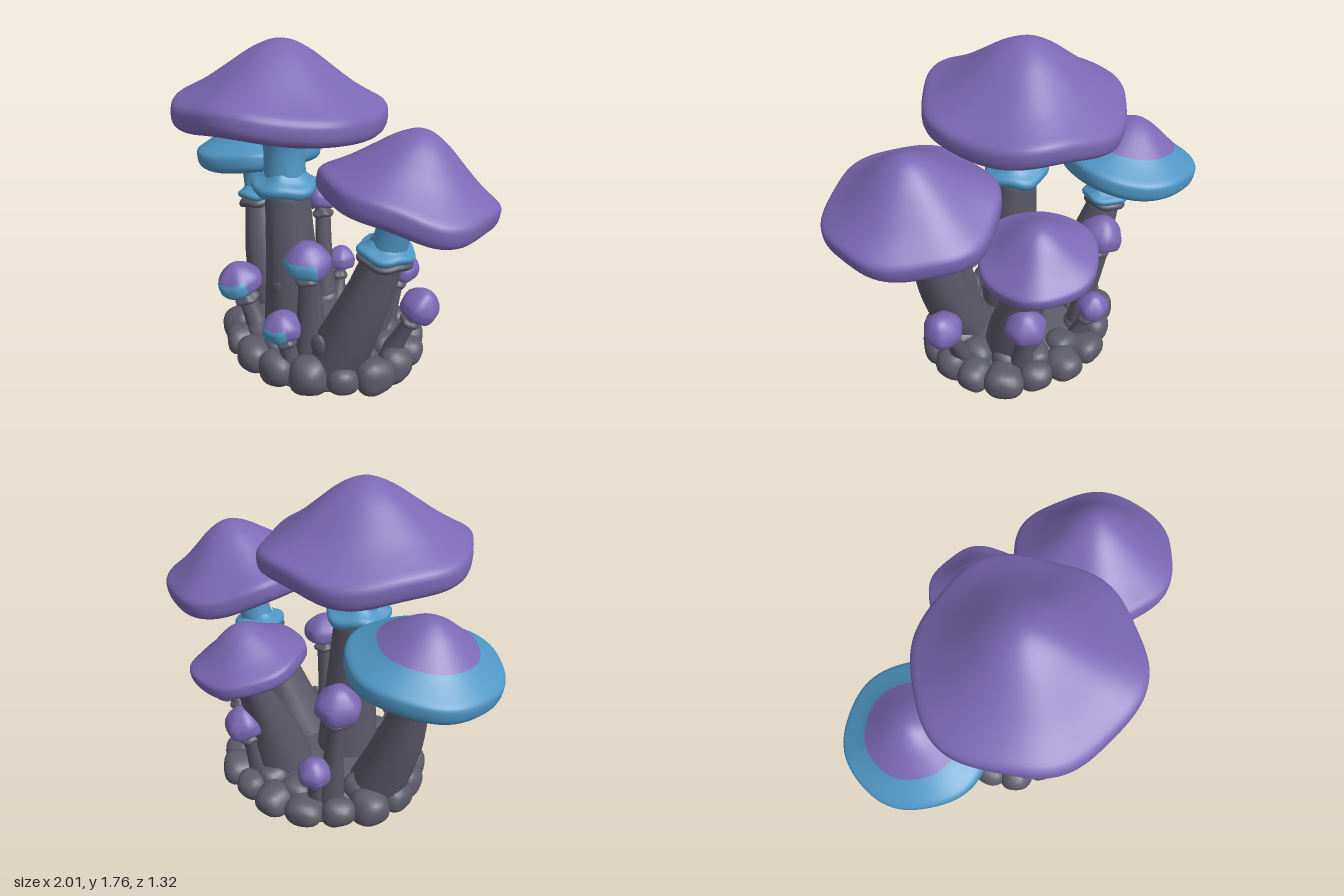
import * as THREE from 'three';
import { mergeVertices } from 'three/addons/utils/BufferGeometryUtils.js';

const mat = (name, color) => {
  const m = new THREE.MeshStandardMaterial({ color });
  m.name = name;
  return m;
};
const V = (p) => new THREE.Vector3(...p);

// weld the seam, bend every vertex by a rule, and smooth the normals
function reshape(geo, rule) {
  geo.deleteAttribute('uv');
  geo.deleteAttribute('normal');
  const g = mergeVertices(geo, 1e-5);
  const p = g.attributes.position;
  const v = new THREE.Vector3();
  for (let i = 0; i < p.count; i++) {
    v.fromBufferAttribute(p, i);
    rule(v);
    p.setXYZ(i, v.x, v.y, v.z);
  }
  g.computeVertexNormals();
  return g;
}

// sort the triangles into one group per material
function paint(geo, count, pick) {
  const old = geo.index.array;
  const lists = Array.from({ length: count }, () => []);
  for (let f = 0; f < old.length / 3; f++) {
    lists[pick(f)].push(old[f * 3], old[f * 3 + 1], old[f * 3 + 2]);
  }
  geo.setIndex(lists.flat());
  geo.clearGroups();
  let start = 0;
  lists.forEach((l, i) => {
    geo.addGroup(start, l.length, i);
    start += l.length;
  });
}

// cap outlines as [radius, height]: underside, then two kinds of top from rim to tip
const under = [[0, -0.85], [0.25, -0.9], [0.55, -1], [0.78, -1.02], [0.9, -0.95], [0.985, -0.5]];
const bell = [[1, 0.07], [0.975, 0.18], [0.86, 0.28], [0.7, 0.42], [0.5, 0.63], [0.3, 0.84], [0.12, 0.97], [0, 1]];
const dome = [[1, 0.1], [0.97, 0.26], [0.86, 0.46], [0.7, 0.64], [0.5, 0.82], [0.3, 0.94], [0.12, 0.99], [0, 1]];

export function createModel() {
  const group = new THREE.Group();
  const purple = mat('purple cap', 0x7a68b4);
  const blue = mat('blue flesh', 0x4f96c4);
  const teal = mat('teal gill centre', 0x1c8c88);
  const dark = mat('dark stem', 0x5a5867);
  const stone = mat('stone', 0x5c5b69);

  const add = (name, geo, material) => {
    const m = new THREE.Mesh(geo, material);
    m.name = name;
    group.add(m);
    return m;
  };

  // cap: at = centre of the rim, lean = slope towards x and z, gills = how far the gills reach
  function cap(name, { at, R, H, L, lean, top = bell, seed = 0, wave = 1, rim = 0, gills = 3, patch = null, segs = 180 }) {
    const profile = new THREE.SplineCurve([
      ...under.map(([r, y]) => new THREE.Vector2(r * R, y * L)),
      ...top.map(([r, y]) => new THREE.Vector2(r * R, y * H)),
    ]);
    const n = 39;
    const pts = profile.getPoints(n);
    pts.forEach((p) => { p.x = Math.max(0, p.x); });
    pts[0].x = pts[n].x = 0;
    const geo = reshape(new THREE.LatheGeometry(pts, segs), (v) => {
      const a = Math.atan2(v.x, v.z);
      const q = Math.hypot(v.x, v.z) / R;
      // radial gill ridges below
      if (v.y < 0 && q > 0.2 && q < 0.77) v.y += 0.3 * L * Math.cos((a * segs) / 3);
      const k = 1 + wave * q * (0.022 * Math.sin(6 * a + seed) + 0.015 * Math.sin(3 * a + 2 * seed));
      v.x *= k;
      v.z *= k;
      v.y += wave * q * q * R * (0.035 * Math.sin(3 * a + seed) + 0.02 * Math.sin(5 * a + 3 * seed));
    });
    paint(geo, 3, (f) => {
      const quad = Math.floor(f / 2);
      const s = Math.floor(quad / n);
      const u = ((quad % n) / n) * 13;
      if (u < Math.min(1.9, gills)) return 2;
      if (u < Math.max(gills, rim)) return 1;
      if (patch !== null && u < 7.6 && Math.cos((s / segs) * Math.PI * 2 - patch) > 0.4) return 1;
      return 0;
    });
    const m = add(name, geo, [purple, blue, teal]);
    m.position.set(...at);
    m.quaternion.setFromUnitVectors(V([0, 1, 0]), V([lean[0], 1, lean[1]]).normalize());
  }

  // stem: level rings of changing radius along a curve
  function stem(name, path, radii, material, bump = 0) {
    const curve = new THREE.CatmullRomCurve3(path.map(V));
    const width = new THREE.SplineCurve(radii.map((r, i) => new THREE.Vector2(i, r)));
    const geo = reshape(new THREE.CylinderGeometry(1, 1, 1, 28, 16), (v) => {
      const t = THREE.MathUtils.clamp(v.y + 0.5, 0, 1);
      const a = Math.atan2(v.x, v.z);
      const r = width.getPoint(t).y * (1 + bump * (Math.sin(5 * a + 3 * t) + Math.sin(3 * a - 5 * t)));
      const c = curve.getPoint(t);
      v.set(c.x + v.x * r, c.y, c.z + v.z * r);
    });
    add(name, geo, material);
  }

  // collar: wavy skirt around a stem
  function collar(name, at, r, h, inner, material, lean = [0, 0]) {
    const pts = [[inner * 0.8, -0.5], [r * 0.88, -0.5], [r, -0.22], [r * 0.96, 0.02], [inner * 1.15, 0.22], [inner * 0.9, 0.5]];
    const line = new THREE.SplineCurve(pts.map(([x, y]) => new THREE.Vector2(x, y * h)));
    const geo = reshape(new THREE.LatheGeometry(line.getPoints(13), 36), (v) => {
      const a = Math.atan2(v.x, v.z);
      const k = 1 + 0.04 * Math.sin(5 * a + r * 40);
      v.set(v.x * k, v.y + 0.08 * h * Math.sin(4 * a + r * 70), v.z * k);
    });
    const m = add(name, geo, material);
    m.position.set(...at);
    m.quaternion.setFromUnitVectors(V([0, 1, 0]), V([lean[0], 1, lean[1]]).normalize());
  }

  // tall centre mushroom
  cap('centreCap', { at: [-0.185, 1.38, 0.12], R: 0.54, H: 0.38, L: 0.06, lean: [0.02, -0.075], seed: 0.4 });
  stem('centreUpperStem', [[-0.14, 0.98, 0.14], [-0.15, 1.2, 0.13], [-0.16, 1.36, 0.13]], [0.115, 0.108, 0.135], blue);
  collar('centreCollar', [-0.14, 1.03, 0.14], 0.175, 0.11, 0.115, blue);
  stem('centreStem', [[-0.085, 0.05, 0.13], [-0.1, 0.5, 0.14], [-0.135, 1.01, 0.14]], [0.18, 0.145, 0.118], dark, 0.015);

  // right mushroom
  cap('rightCap', { at: [0.582, 1.1, 0.145], R: 0.422, H: 0.33, L: 0.06, lean: [0.16, -0.11], seed: 2.1 });
  stem('rightUpperStem', [[0.5, 0.8, 0.18], [0.54, 0.95, 0.17], [0.57, 1.08, 0.15]], [0.095, 0.09, 0.11], blue);
  collar('rightCollar', [0.5, 0.83, 0.18], 0.142, 0.08, 0.09, blue, [0.1, 0]);
  collar('rightLowerCollar', [0.495, 0.785, 0.18], 0.138, 0.065, 0.09, dark, [0.1, 0]);
  stem('rightStem', [[0.2, 0.05, 0.2], [0.36, 0.42, 0.2], [0.5, 0.8, 0.18]], [0.18, 0.145, 0.1], dark, 0.015);

  // left mushroom with a broad blue rim
  cap('leftCap', { at: [-0.635, 1.005, -0.25], R: 0.372, H: 0.265, L: 0.06, lean: [-0.13, -0.05], seed: 4, wave: 0.5, rim: 9.25 });
  stem('leftUpperStem', [[-0.57, 0.76, -0.17], [-0.6, 0.88, -0.19], [-0.63, 0.99, -0.22]], [0.09, 0.088, 0.11], blue);
  collar('leftCollar', [-0.57, 0.8, -0.17], 0.13, 0.07, 0.088, blue, [-0.1, 0]);
  collar('leftLowerCollar', [-0.58, 0.745, -0.165], 0.118, 0.07, 0.088, dark, [-0.2, 0]);
  stem('leftStem', [[-0.34, 0.05, -0.08], [-0.48, 0.42, -0.12], [-0.575, 0.76, -0.165]], [0.17, 0.135, 0.09], dark, 0.015);

  // back mushroom
  cap('backCap', { at: [0.245, 0.88, -0.355], R: 0.295, H: 0.21, L: 0.045, lean: [0.17, -0.12], seed: 1, wave: 0.7 });
  stem('backUpperStem', [[0.26, 0.74, -0.35], [0.26, 0.8, -0.355], [0.25, 0.87, -0.36]], [0.075, 0.07, 0.08], blue);
  collar('backCollar', [0.26, 0.765, -0.35], 0.105, 0.075, 0.075, purple, [0.05, -0.1]);
  stem('backStem', [[0.17, 0.05, -0.12], [0.22, 0.4, -0.2], [0.26, 0.76, -0.35]], [0.17, 0.135, 0.075], dark, 0.015);

  // small mushrooms: foot, rim centre of the cap, size, lean, blue patch direction and gill reach
  const sprouts = [
    { foot: [-0.18, 0.1, -0.3], top: [-0.255, 0.745, -0.37], R: 0.115, H: 0.125, lean: [-0.15, -0.1], gills: 0 },
    { foot: [0.1, 0.1, 0.29], top: [0.16, 0.725, 0.36], R: 0.118, H: 0.115, lean: [0.05, 0.12], patch: -0.2 },
    { foot: [-0.25, 0.1, 0.22], top: [-0.38, 0.415, 0.26], R: 0.125, H: 0.12, lean: [-0.15, 0.2], patch: -0.2 },
    { foot: [0.06, 0.1, 0.36], top: [0.04, 0.345, 0.42], R: 0.1, H: 0.095, lean: [-0.05, 0.15], patch: -0.4 },
    { foot: [0.43, 0.1, 0], top: [0.595, 0.435, -0.02], R: 0.1, H: 0.115, lean: [0.5, -0.1], gills: 0 },
    { foot: [0.26, 0.1, -0.26], top: [0.31, 0.455, -0.335], R: 0.107, H: 0.115, lean: [0.1, -0.1], gills: 0 },
    { foot: [-0.12, 0.1, -0.34], top: [-0.15, 0.345, -0.425], R: 0.085, H: 0.09, lean: [0, -0.15] },
  ];
  sprouts.forEach(({ foot, top, R, H, lean, patch, gills }, i) => {
    const at = (t) => foot.map((c, k) => c + (top[k] - c) * t);
    const name = 'sprout' + (i + 1);
    cap(name + 'Cap', { at: top, R, H, L: 0.04, lean, top: dome, seed: i * 1.7, wave: 1.4, patch, gills, segs: 36 });
    stem(name + 'Stem', [foot, at(0.5), at(0.95)], [R * 0.65, R * 0.45, R * 0.4], dark, 0.02);
    collar(name + 'Collar', at(1 - 0.085 / (top[1] - foot[1])), R * 0.56, 0.045, R * 0.4, dark, lean);
  });

  // bark knots
  [[-0.1, 0.47, 0.275, 0.035], [0.22, 0.27, 0.355, 0.045], [0.03, 0.32, 0.21, 0.035]].forEach(([x, y, z, r]) => {
    const knot = add('barkKnot', new THREE.SphereGeometry(r, 12, 8), dark);
    knot.position.set(x, y, z);
    knot.scale.set(1, 1.4, 0.5);
  });

  // mound under the stems, with a flat bottom
  const mound = [[0, 0], [0.47, 0], [0.49, 0.03], [0.42, 0.11], [0.25, 0.16], [0, 0.17]].map((p) => new THREE.Vector2(...p));
  add('mound', new THREE.LatheGeometry(mound, 40), stone).scale.z = 0.92;

  // rounded stones around the mound, flat where they meet the ground
  const stones = (count, rx, rz, size, y, turn) => {
    for (let i = 0; i < count; i++) {
      const a = ((i + turn) / count) * Math.PI * 2;
      const s = size * (1 + 0.1 * Math.sin(i * 2.4 + turn));
      const back = Math.max(0, -Math.cos(a));
      const tall = 0.95 + 0.08 * Math.sin(i * 1.9) - 0.15 * back;
      const geo = reshape(new THREE.IcosahedronGeometry(1, 4), (v) => {
        const block = (Math.abs(v.x) ** 2.4 + Math.abs(v.y) ** 2.4 + Math.abs(v.z) ** 2.4) ** (-1 / 2.4);
        v.multiplyScalar(block * (0.97 + 0.05 * Math.sin(3 * v.x + i) * Math.cos(3 * v.y - i) + 0.05 * Math.sin(4 * v.z + 2 * i)));
        v.set(v.x * s, Math.max(-y, v.y * s * tall), v.z * s * 0.95);
      });
      const m = add('stone', geo, stone);
      m.position.set(Math.sin(a) * rx, y, Math.cos(a) * rz - 0.02 * back);
      m.rotation.y = a;
    }
  };
  stones(17, 0.5, 0.415, 0.102, 0.085, 0);
  stones(13, 0.37, 0.31, 0.085, 0.12, 0.5);

  return group;
}
